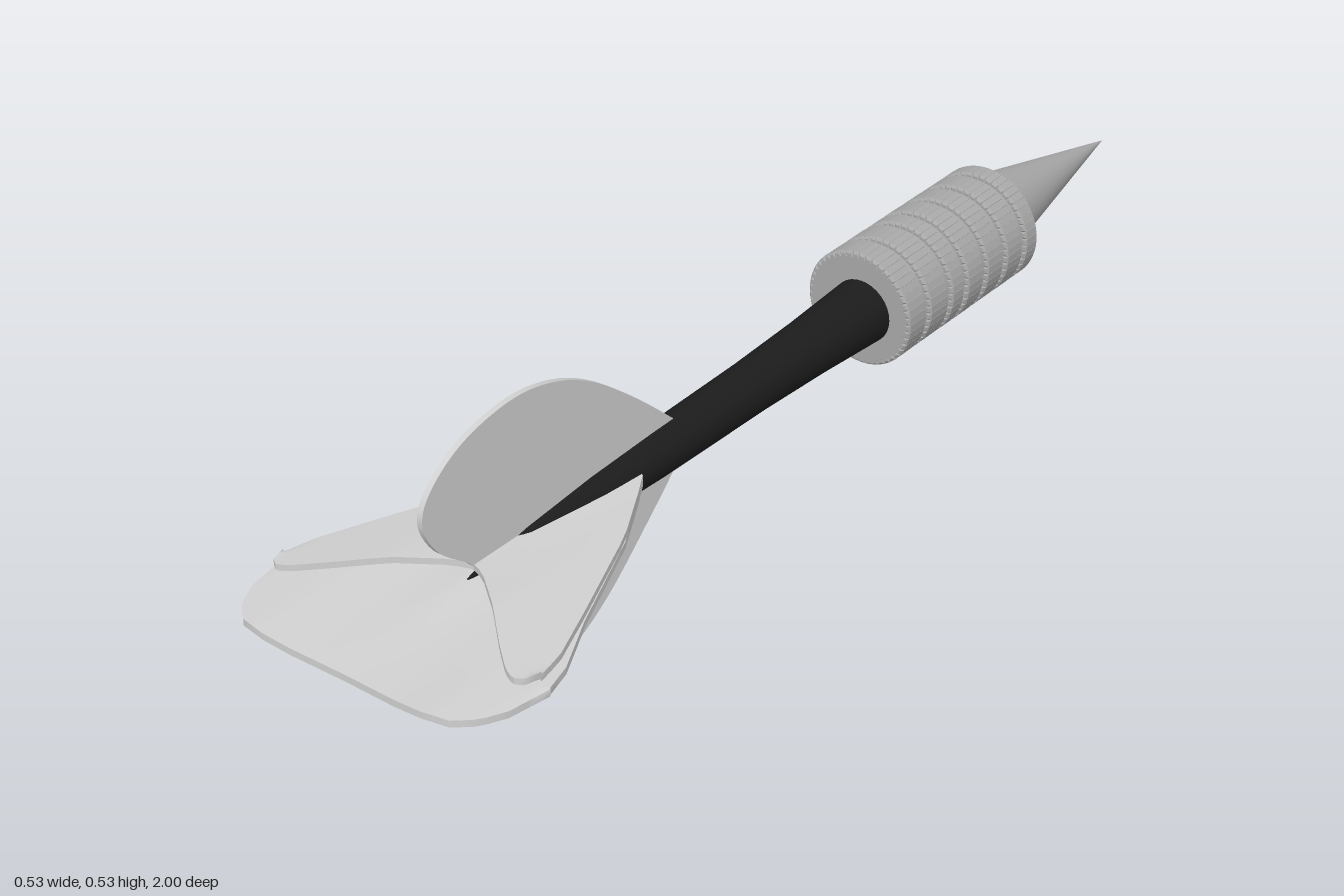
import * as THREE from 'three';
import { toCreasedNormals } from 'three/addons/utils/BufferGeometryUtils.js';

const mat = (name, color, side = THREE.FrontSide) => {
  const m = new THREE.MeshStandardMaterial({ color, side });
  m.name = name;
  return m;
};

// Linear interpolation through [x, value] pairs
function interp(pts, x) {
  for (let i = 1; i < pts.length; i++) {
    const [x0, a] = pts[i - 1], [x1, b] = pts[i];
    if (x <= x1) return a + (b - a) * (x - x0) / (x1 - x0);
  }
  return pts[pts.length - 1][1];
}

// Thin swept sheet, mirrored in x, built from closed lengthwise sections
function sheetGeometry({ front, back, yFront, yBack, thick }) {
  const n = 10, cols = 20, max = back[back.length - 1][0], pos = [], idx = [];
  const xs = [];
  for (let i = -cols; i <= cols; i++) {
    const u = i / cols;
    xs.push(max * Math.sign(u) * Math.sin(Math.abs(u) * Math.PI / 2));
  }
  for (const x of xs) {
    const a = Math.abs(x), z0 = interp(front, a), z1 = interp(back, a);
    const point = (s, drop) => pos.push(x,
      interp(yFront, a) + (interp(yBack, a) - interp(yFront, a)) * s - drop, z0 + (z1 - z0) * s);
    for (let j = 0; j <= n; j++) point(j / n, 0);
    for (let j = n; j >= 0; j--) point(j / n, thick);
  }
  const loop = 2 * n + 2;
  for (let i = 0; i < xs.length - 1; i++) {
    for (let j = 0; j < loop; j++) {
      const k = (j + 1) % loop;
      const a = i * loop + j, b = i * loop + k, c = a + loop, d = b + loop;
      idx.push(a, b, c, b, d, c);
    }
  }
  const g = new THREE.BufferGeometry();
  g.setAttribute('position', new THREE.Float32BufferAttribute(pos, 3));
  g.setIndex(idx);
  return toCreasedNormals(g, 0.7);
}

// Toothed grip ring running from z0 to z1
function ringGeometry(r, z0, z1, phase) {
  const teeth = 48, bevel = 0.004, pts = [];
  for (let i = 0; i < teeth; i++) {
    [[0, 0], [0.15, 1], [0.7, 1], [0.85, 0]].forEach(([f, up]) => {
      const a = (i + f + phase) / teeth * Math.PI * 2;
      const rr = r - bevel - (up ? 0 : 0.005);
      pts.push(new THREE.Vector2(Math.cos(a) * rr, Math.sin(a) * rr));
    });
  }
  const g = new THREE.ExtrudeGeometry(new THREE.Shape(pts), {
    depth: z1 - z0 - 2 * bevel, bevelEnabled: true, bevelSize: bevel,
    bevelThickness: bevel, bevelSegments: 1,
  });
  return g.translate(0, 0, z0 + bevel);
}

export function createModel() {
  const root = new THREE.Group();
  const metal = mat('grey metal', 0xa8a8a8);
  const black = mat('black shaft', 0x1c1c1c);
  const white = mat('pale flight', 0xd0d0d0, THREE.DoubleSide);
  const add = (name, geo, material, parent = root) => {
    const m = new THREE.Mesh(geo, material);
    m.name = name;
    parent.add(m);
    return m;
  };

  // Pointed tip, aimed at -z
  const tip = add('tip', new THREE.ConeGeometry(0.077, 0.38, 40), metal);
  tip.rotation.x = -Math.PI / 2 - 0.015;
  tip.position.set(-0.008, 0.276, -0.81);

  // Barrel core with grip rings
  const barrel = new THREE.Group();
  barrel.name = 'barrel';
  barrel.position.set(-0.006, 0.27, 0);
  root.add(barrel);
  const core = new THREE.CylinderGeometry(0.095, 0.095, 0.376, 48);
  add('barrelCore', core.rotateX(Math.PI / 2).translate(0, 0, -0.442), metal, barrel);
  const rings = [[-0.632, -0.596], [-0.586, -0.538], [-0.528, -0.48], [-0.47, -0.422],
    [-0.412, -0.376], [-0.366, -0.312], [-0.303, -0.252]];
  rings.forEach(([z0, z1], i) =>
    add('gripRing', ringGeometry(0.104, z0, z1, (i * 0.37) % 1), metal, barrel));

  // Tapered shaft, ending in a point between the flights
  const profile = [[0, -0.3], [0.058, -0.3], [0.057, -0.25], [0.049, -0.1], [0.044, 0.05],
    [0.041, 0.3], [0.036, 0.45], [0.024, 0.6], [0.001, 0.73]].map(p => new THREE.Vector2(...p));
  const shaft = new THREE.LatheGeometry(profile, 32).rotateX(Math.PI / 2);
  add('shaft', shaft.translate(0, 0.268, 0), black);

  // Vertical flights: two rounded lobes drawn in (z, y)
  const lobes = {
    upperFlight: [[0.24, 0.3], [0.35, 0.4], [0.45, 0.475], [0.54, 0.515], [0.63, 0.526],
      [0.73, 0.506], [0.8, 0.46], [0.82, 0.41], [0.79, 0.35], [0.73, 0.3]],
    lowerFlight: [[0.24, 0.225], [0.32, 0.15], [0.42, 0.065], [0.51, 0.017], [0.61, 0],
      [0.71, 0.015], [0.78, 0.07], [0.81, 0.13], [0.79, 0.19], [0.73, 0.235]],
  };
  for (const [name, pts] of Object.entries(lobes)) {
    const s = new THREE.Shape();
    s.moveTo(0.26, 0.268);
    s.lineTo(...pts[0]);
    s.splineThru(pts.slice(1).map(p => new THREE.Vector2(...p)));
    s.lineTo(0.7, 0.268);
    const g = new THREE.ExtrudeGeometry(s, { depth: 0.01, bevelEnabled: false, curveSegments: 40 });
    add(name, g.translate(0, 0, -0.005).rotateY(-Math.PI / 2).translate(-0.001, 0, 0), white);
  }

  // Side flights: a notched upper sheet over a longer lower sheet
  add('topSideFlight', sheetGeometry({
    front: [[0, 0.35], [0.04, 0.37], [0.12, 0.51], [0.2, 0.7], [0.24, 0.8], [0.251, 0.855]],
    back: [[0, 0.715], [0.03, 0.728], [0.1, 0.785], [0.17, 0.85], [0.21, 0.883], [0.23, 0.892],
      [0.244, 0.882], [0.251, 0.855]],
    yFront: [[0, 0.286], [0.06, 0.277], [0.25, 0.28]],
    yBack: [[0, 0.289], [0.1, 0.297], [0.17, 0.293], [0.25, 0.286]],
    thick: 0.011,
  }), white);
  add('bottomSideFlight', sheetGeometry({
    front: [[0, 0.35], [0.04, 0.37], [0.12, 0.51], [0.2, 0.7], [0.25, 0.8], [0.263, 0.85]],
    back: [[0, 0.993], [0.16, 1], [0.2, 0.992], [0.23, 0.965], [0.25, 0.925], [0.263, 0.85]],
    yFront: [[0, 0.288], [0.06, 0.268], [0.15, 0.265], [0.263, 0.261]],
    yBack: [[0, 0.25], [0.1, 0.253], [0.17, 0.26], [0.263, 0.258]],
    thick: 0.012,
  }), white);

  return root;
}
